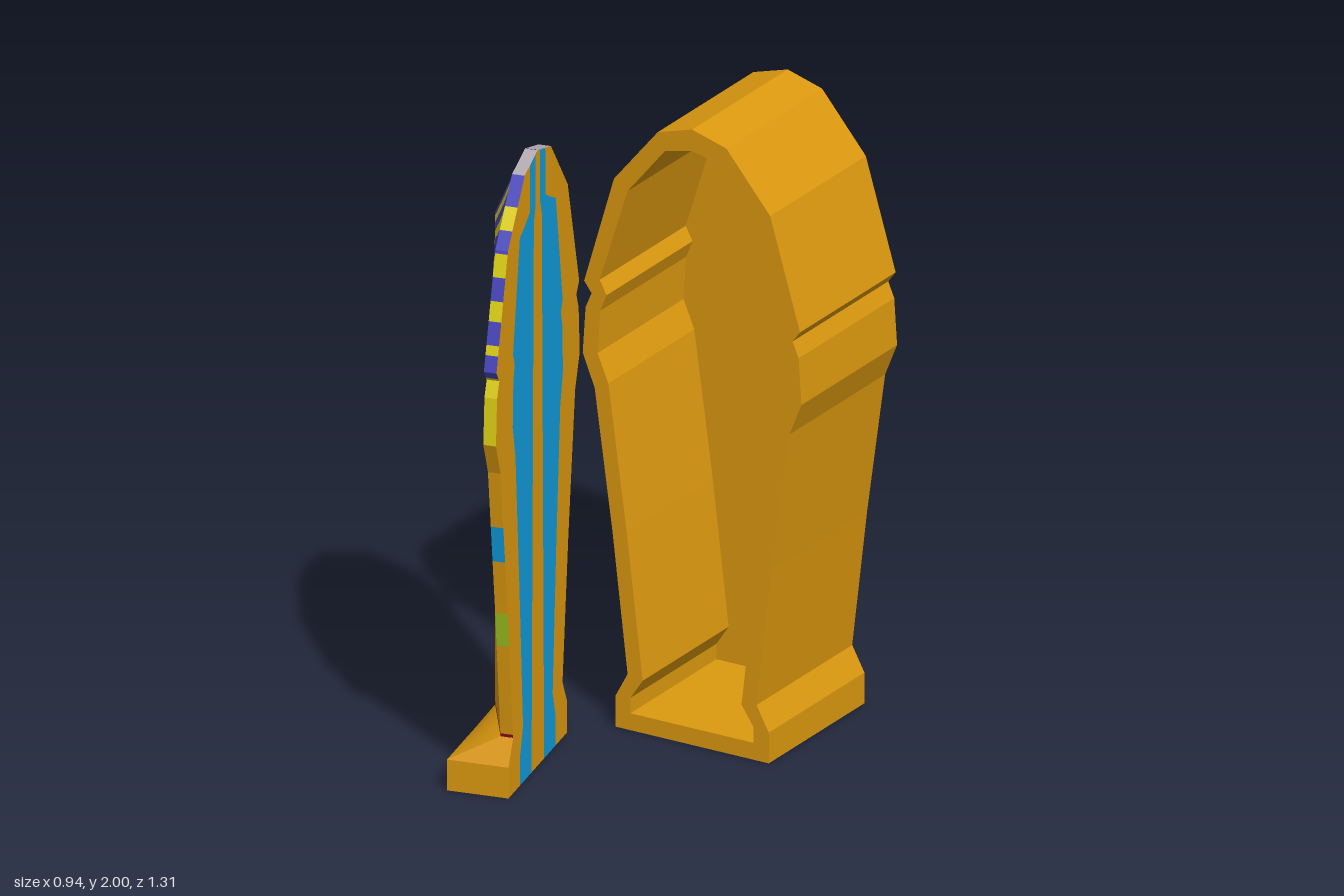
import * as THREE from 'three';

const material = (name, color) => {
  const m = new THREE.MeshStandardMaterial({ color });
  m.name = name;
  return m;
};

const materials = {
  gold: material('gold', 0xdc990f),
  blue: material('sky blue', 0x109cdc),
  purple: material('indigo', 0x4845bc),
  yellow: material('yellow', 0xdacd14),
  green: material('green', 0x9abf20),
  red: material('dark red', 0x900020),
  grey: material('lilac grey', 0xb4a9b1),
};

// Half outlines as [half width, height], bottom to top
const OUTER = [[0.27, 0], [0.27, 0.1], [0.227, 0.18], [0.28, 0.63], [0.343, 1.085], [0.385, 1.19],
  [0.375, 1.34], [0.354, 1.39], [0.38, 1.425], [0.275, 1.78], [0.121, 1.965], [0.001, 2]];
const INNER = [[0.217, 0.055], [0.217, 0.105], [0.174, 0.17], [0.23, 0.64], [0.295, 1.11], [0.333, 1.2],
  [0.323, 1.34], [0.301, 1.395], [0.325, 1.44], [0.227, 1.75], [0.095, 1.91], [0.001, 1.93]];

function mirrored(Kind, half) {
  const pts = [...half, ...half.slice().reverse().map(([x, y]) => [-x, y])];
  return new Kind(pts.map(([x, y]) => new THREE.Vector2(x, y)));
}

// Open coffin: a rim with a hollow, closed by a back wall
function createCoffin() {
  const coffin = new THREE.Group();
  coffin.name = 'coffin';
  const add = (name, shape, depth, z) => {
    const mesh = new THREE.Mesh(
      new THREE.ExtrudeGeometry(shape, { depth, bevelEnabled: false }), materials.gold);
    mesh.name = name;
    mesh.position.z = z;
    coffin.add(mesh);
  };
  const rim = mirrored(THREE.Shape, OUTER);
  rim.holes.push(mirrored(THREE.Path, INNER));
  add('coffinWalls', rim, 0.49, -0.6);
  add('coffinBack', mirrored(THREE.Shape, OUTER), 0.055, -0.655);
  coffin.position.x = 0.085;
  return coffin;
}

// Lid sections: depth of the side wall and of the centre ridge
const EDGE = [0.195, 0.195, ...Array(10).fill(0.04)];
const RIDGE = [0.195, 0.195, ...Array(8).fill(0.135), 0.056, 0.041];

// Colours of the headdress: rays around the face, dashes on the lappets
function headdress(u, y, wall) {
  if (y > 1.49) {
    const ray = Math.atan2(y - 1.54, u) / (Math.PI / 8);
    return Math.abs(ray - Math.round(ray)) < 0.27 ? 'purple' : 'yellow';
  }
  const inDash = Math.abs(y - 1.435) < 0.035 || (!wall && Math.abs(y - 1.325) < 0.027);
  return inDash && (wall || (u > 0.125 && u < 0.25)) ? 'purple' : 'yellow';
}

// Colour of the lid front at half width u, height y; t runs from ridge to edge
function frontColour(u, y, t) {
  if (y < 0.18) return 'gold';
  if (y < 0.19) return 'red';
  const bandY = y - 0.04 * t;
  if (bandY > 0.78 && bandY < 0.9) return 'blue';
  if (bandY > 0.475 && bandY < 0.595) return 'green';
  if (y < 1.2 + 2.5 * (u - 0.16) ** 2) return 'gold';
  // beard, eyes, face
  if (u < 0.025 && y > 1.38 && y < 1.49) return 'purple';
  if (u > 0.03 && u < 0.075 && Math.abs(y - 1.645) < 0.01) return 'grey';
  const face = y < 1.45 ? u < 0.105 : (u / 0.16) ** 2 + ((y - 1.5) / 0.22) ** 2 < 1;
  return face ? 'gold' : headdress(u, y, false);
}

function wallColour(h, y) {
  if (y > 1.965) return 'grey';
  if (y > 1.19) return headdress(h, y, true);
  if (y > 0.78 && y < 0.9) return 'blue';
  if (y > 0.49 && y < 0.6) return 'green';
  return y > 0.18 && y < 0.19 ? 'red' : 'gold';
}

// Inner and outer limit of the blue stripes on the flat back
function stripe(h, y) {
  const k = THREE.MathUtils.clamp((y - 1.78) / 0.05, 0, 1);
  const outer = THREE.MathUtils.lerp(0.6 * h, 0.07, k);
  const inner = THREE.MathUtils.lerp(0.058 - 0.012 * y, 0.02, k);
  return [Math.min(inner, h), Math.min(outer, h)];
}

// Lid: ridged front, side walls and striped back, one mesh per colour
function createLid() {
  const COLUMNS = 36;
  const buckets = {};
  const quad = (colour, a, b, c, d, flip = false) => {
    const order = flip ? [a, c, b, a, d, c] : [a, b, c, a, c, d];
    (buckets[colour] ??= []).push(...order.flat());
  };

  const rows = [];
  for (let i = 0; i < OUTER.length - 1; i++) {
    const y0 = OUTER[i][1], y1 = OUTER[i + 1][1];
    const steps = y1 <= 0.1 ? 1 : Math.ceil((y1 - y0) / 0.01);
    for (let j = i ? 1 : 0; j <= steps; j++) {
      const k = j / steps, mix = (a, b) => a + (b - a) * k;
      rows.push({
        y: mix(y0, y1), h: mix(OUTER[i][0], OUTER[i + 1][0]),
        e: mix(EDGE[i], EDGE[i + 1]), r: mix(RIDGE[i], RIDGE[i + 1]),
      });
    }
  }

  for (let i = 0; i < rows.length - 1; i++) {
    const lo = rows[i], hi = rows[i + 1];
    const y = (lo.y + hi.y) / 2, h = (lo.h + hi.h) / 2;
    for (const s of [1, -1]) {
      const front = (row, t) => [s * row.h * t, row.y, row.r + (row.e - row.r) * t];
      for (let c = 0; c < COLUMNS; c++) {
        const t0 = c / COLUMNS, t1 = (c + 1) / COLUMNS, t = (t0 + t1) / 2;
        quad(frontColour(h * t, y, t),
          front(lo, t0), front(lo, t1), front(hi, t1), front(hi, t0), s < 0);
      }
      const back = (row, x) => [s * x, row.y, 0];
      quad(wallColour(h, y),
        front(lo, 1), back(lo, lo.h), back(hi, hi.h), front(hi, 1), s < 0);
      const a = [lo.h, ...stripe(lo.h, lo.y).reverse(), 0];
      const b = [hi.h, ...stripe(hi.h, hi.y).reverse(), 0];
      ['gold', 'blue', 'gold'].forEach((colour, k) => quad(colour,
        back(lo, a[k]), back(lo, a[k + 1]), back(hi, b[k + 1]), back(hi, b[k]), s < 0));
    }
  }
  // underside of the foot
  const w = OUTER[0][0], d = EDGE[0];
  quad('gold', [-w, 0, 0], [w, 0, 0], [w, 0, d], [-w, 0, d]);

  const names = { gold: 'lidBody', blue: 'lidBlueBands', purple: 'headdressStripes', yellow: 'headdress',
    green: 'lidGreenBand', red: 'footSeam', grey: 'crownAndEyes' };
  const lid = new THREE.Group();
  lid.name = 'lid';
  for (const [colour, positions] of Object.entries(buckets)) {
    const geometry = new THREE.BufferGeometry();
    geometry.setAttribute('position', new THREE.Float32BufferAttribute(positions, 3));
    geometry.computeVertexNormals();
    const mesh = new THREE.Mesh(geometry, materials[colour]);
    mesh.name = names[colour];
    lid.add(mesh);
  }
  lid.rotation.y = -1.349;
  lid.position.set(-0.225, 0, 0.267);
  return lid;
}

export function createModel() {
  const model = new THREE.Group();
  model.name = 'openSarcophagus';
  model.add(createCoffin(), createLid());
  return model;
}
